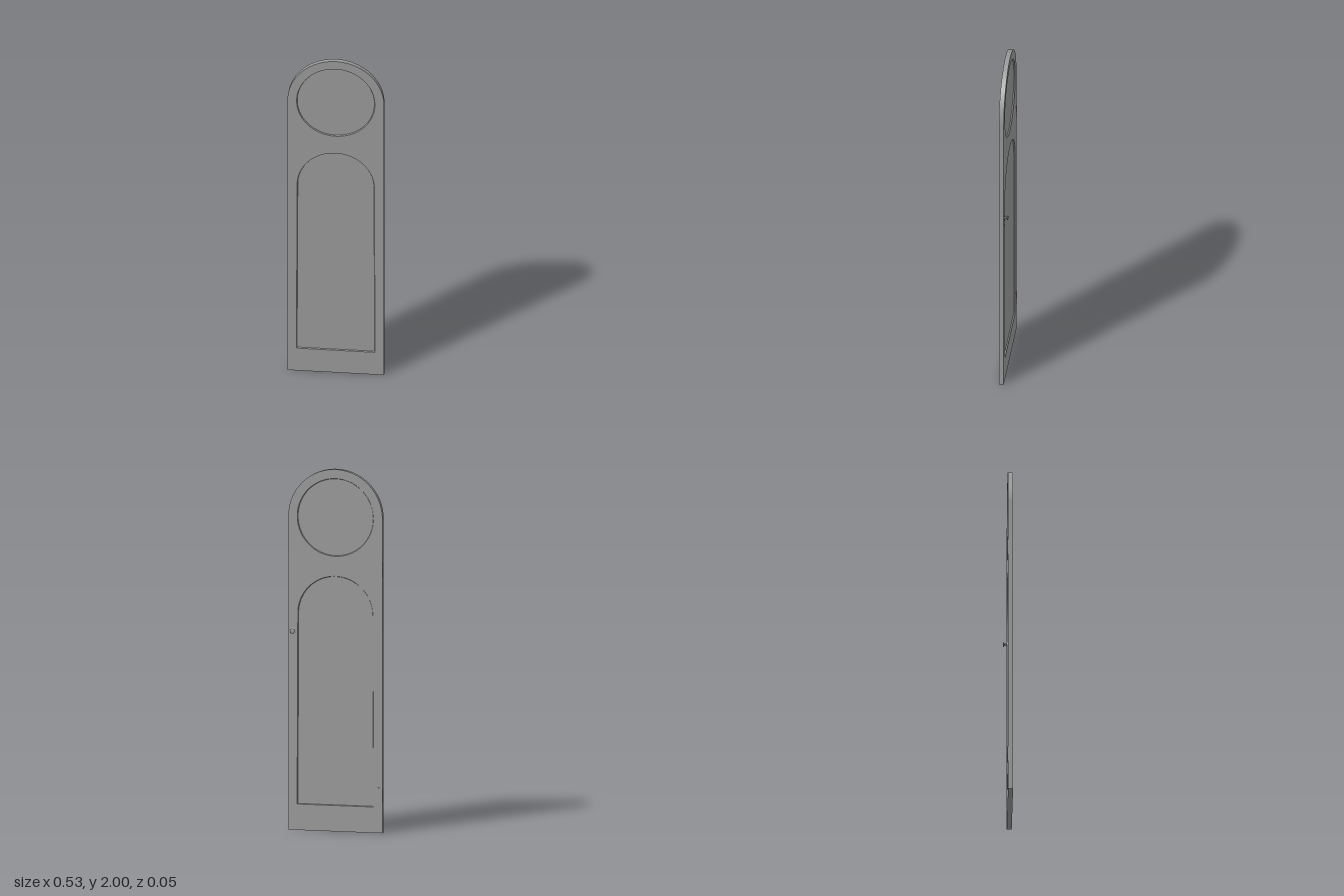
import * as THREE from 'three';

const BACK = -0.0035, FRONT = 0.0238;
const HALF = 0.265, ARCH_Y = 1.735, CENTRE_X = 0.001;

// Arched outline: straight sides with a half-round top
function arched(path, bottomHalf, topHalf, y0, y1) {
  path.moveTo(-bottomHalf, y0);
  path.lineTo(bottomHalf, y0);
  path.lineTo(topHalf, y1);
  path.absarc(0, y1, topHalf, 0, Math.PI, false);
  path.lineTo(-bottomHalf, y0);
  return path;
}
// Panel openings, shrunk by the amount d
const circle = (path, d = 0) => path.absarc(0, ARCH_Y, 0.215 - d, 0, Math.PI * 2, false);
const lowerArch = (path, d = 0) => arched(path, 0.216 - d, 0.212 - d, 0.143 + d, 1.198);

// Sloped strip from the opening's rim down to the panel face
function slopedRim(outline, zRim, zPanel) {
  const rim = outline(new THREE.Path()).getPoints(40);
  const foot = outline(new THREE.Path(), 0.003).getPoints(40);
  const position = [], index = [];
  rim.forEach((p, i) => {
    position.push(p.x, p.y, zRim, foot[i].x, foot[i].y, zPanel);
    if (i === 0) return;
    const a = 2 * i - 2, b = 2 * i;
    if (zRim > zPanel) index.push(a, b, a + 1, b, b + 1, a + 1);
    else index.push(a, a + 1, b, b, a + 1, b + 1);
  });
  const indexed = new THREE.BufferGeometry();
  indexed.setAttribute('position', new THREE.Float32BufferAttribute(position, 3));
  indexed.setIndex(index);
  const geo = indexed.toNonIndexed();
  geo.computeVertexNormals();
  return geo;
}

export function createModel() {
  const group = new THREE.Group();
  const mat = new THREE.MeshStandardMaterial({ color: 0x9a9a9a });
  const add = (name, geo, x = 0, y = 0, z = 0, parent = group) => {
    const mesh = new THREE.Mesh(geo, mat);
    mesh.name = name;
    mesh.position.set(x, y, z);
    parent.add(mesh);
    return mesh;
  };
  const slab = (shape, depth) =>
    new THREE.ExtrudeGeometry(shape, { depth, bevelEnabled: false, curveSegments: 40 });

  // Frame with two openings
  const frame = arched(new THREE.Shape(), HALF, HALF, 0, ARCH_Y);
  frame.holes.push(circle(new THREE.Path()), lowerArch(new THREE.Path()));
  add('doorFrame', slab(frame, FRONT - BACK), CENTRE_X, 0, BACK);

  // Panels set back from both faces
  const inset = 0.007, thick = FRONT - BACK - 2 * inset;
  for (const [name, outline] of [['roundPanel', circle], ['archedPanel', lowerArch]]) {
    add(name, slab(outline(new THREE.Shape()), thick), CENTRE_X, 0, BACK + inset);
    add(name + 'FrontRim', slopedRim(outline, FRONT, FRONT - inset), CENTRE_X);
    add(name + 'BackRim', slopedRim(outline, BACK, BACK + inset), CENTRE_X);
  }

  // Turned knob on the back
  const profile = [
    [0.019, 0], [0.019, 0.001], [0.008, 0.002], [0.006, 0.004], [0.0055, 0.011],
    [0.008, 0.014], [0.013, 0.017], [0.0135, 0.019], [0.01, 0.0205], [0, 0.021],
  ].map(([r, h]) => new THREE.Vector2(r, h));
  add('knob', new THREE.LatheGeometry(profile, 28), 0.239, 1.101, BACK).rotation.x = -Math.PI / 2;

  // Keyhole cover below the knob
  const cover = add('keyholeCover', new THREE.CylinderGeometry(0.007, 0.007, 0.001, 20), 0.239, 1.056, BACK - 0.0005);
  cover.rotation.x = Math.PI / 2;

  // Hinges on the opposite edge
  for (const y of [0.209, 1.456]) {
    const hinge = new THREE.Group();
    hinge.name = 'hinge';
    hinge.position.set(CENTRE_X - HALF, y, BACK);
    group.add(hinge);
    add('hingeLeaf', new THREE.BoxGeometry(0.026, 0.084, 0.002), 0.012, 0, -0.001, hinge);
    add('hingeBarrel', new THREE.CylinderGeometry(0.0025, 0.0025, 0.042, 12), -0.0005, 0.021, -0.002, hinge);
  }
  return group;
}
